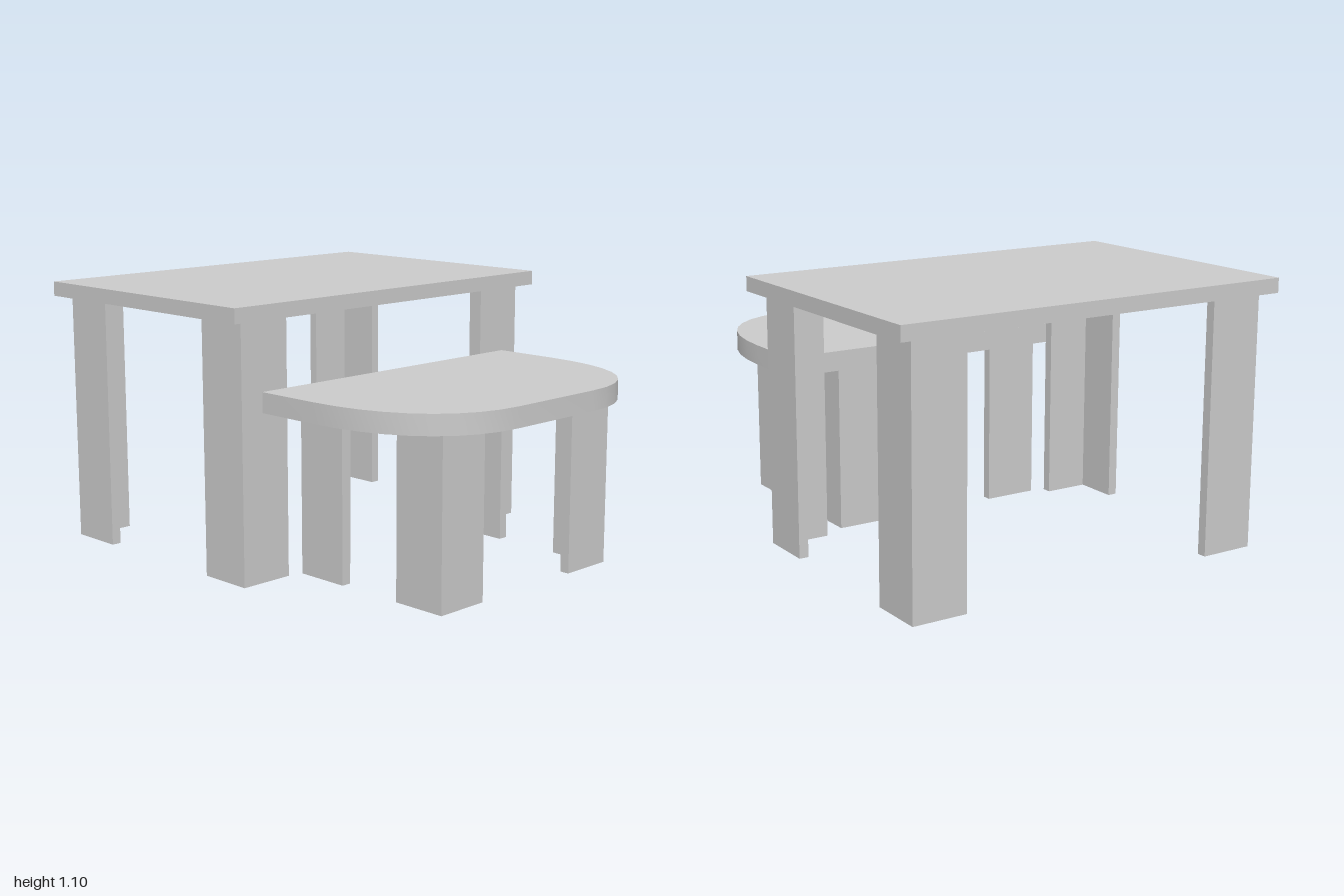
import * as THREE from 'three';
import { toCreasedNormals } from 'three/addons/utils/BufferGeometryUtils.js';

const material = new THREE.MeshStandardMaterial({ color: 0xcccccc });
const LEG = 0.23;   // leg width
const WALL = 0.04;  // thickness of the L section

// Extrudes a plan drawn in (x, z) downward from the height top
function slab(name, shape, top, depth) {
  const geometry = new THREE.ExtrudeGeometry(shape, { depth, bevelEnabled: false, curveSegments: 9 });
  geometry.rotateX(Math.PI / 2);
  const mesh = new THREE.Mesh(toCreasedNormals(geometry, 0.6), material);
  mesh.name = name;
  mesh.position.y = top;
  return mesh;
}

// L-shaped leg with its outer corner at (x, z), pointing along sx, sz
function cornerLeg(name, x, z, sx, sz, height) {
  const plan = [[0, 0], [LEG, 0], [LEG, WALL], [WALL, WALL], [WALL, LEG], [0, LEG]];
  const points = plan.map(([u, v]) => new THREE.Vector2(x - sx * u, z - sz * v));
  return slab(name, new THREE.Shape(points), height, height);
}

// Four legs filling the corners of a rectangle
function addLegs(group, name, x0, x1, z0, z1, height) {
  for (const [side, x, sx] of [['Right', x0, -1], ['Left', x1, 1]]) {
    for (const [end, z, sz] of [['Back', z0, -1], ['Front', z1, 1]]) {
      group.add(cornerLeg(name + end + side + 'Leg', x, z, sx, sz, height));
    }
  }
}

export function createModel() {
  const model = new THREE.Group();
  model.name = 'tableAndBench';

  // Table: rectangular top on four tall legs
  const table = new THREE.Group();
  table.name = 'table';
  const top = new THREE.Mesh(new THREE.BoxGeometry(1.72, 0.06, 1.163), material);
  top.name = 'tableTop';
  top.position.set(0, 1.07, -0.4185);
  table.add(top);
  addLegs(table, 'table', -0.797, 0.795, -0.96, 0.123, 1.04);

  // Bench: seat with a straight back edge and two rounded front corners
  const bench = new THREE.Group();
  bench.name = 'bench';
  const seat = new THREE.Shape();
  seat.moveTo(-0.7, 0.13);
  seat.lineTo(0.7, 0.13);
  seat.lineTo(0.7, 0.41);
  seat.bezierCurveTo(0.7, 0.77, 0.52, 1, 0.22, 1);
  seat.lineTo(-0.22, 1);
  seat.bezierCurveTo(-0.52, 1, -0.7, 0.77, -0.7, 0.41);
  seat.closePath();
  bench.add(slab('benchSeat', seat, 0.76, 0.082));
  addLegs(bench, 'bench', -0.507, 0.47, 0.137, 0.887, 0.678);

  model.add(table, bench);
  return model;
}
